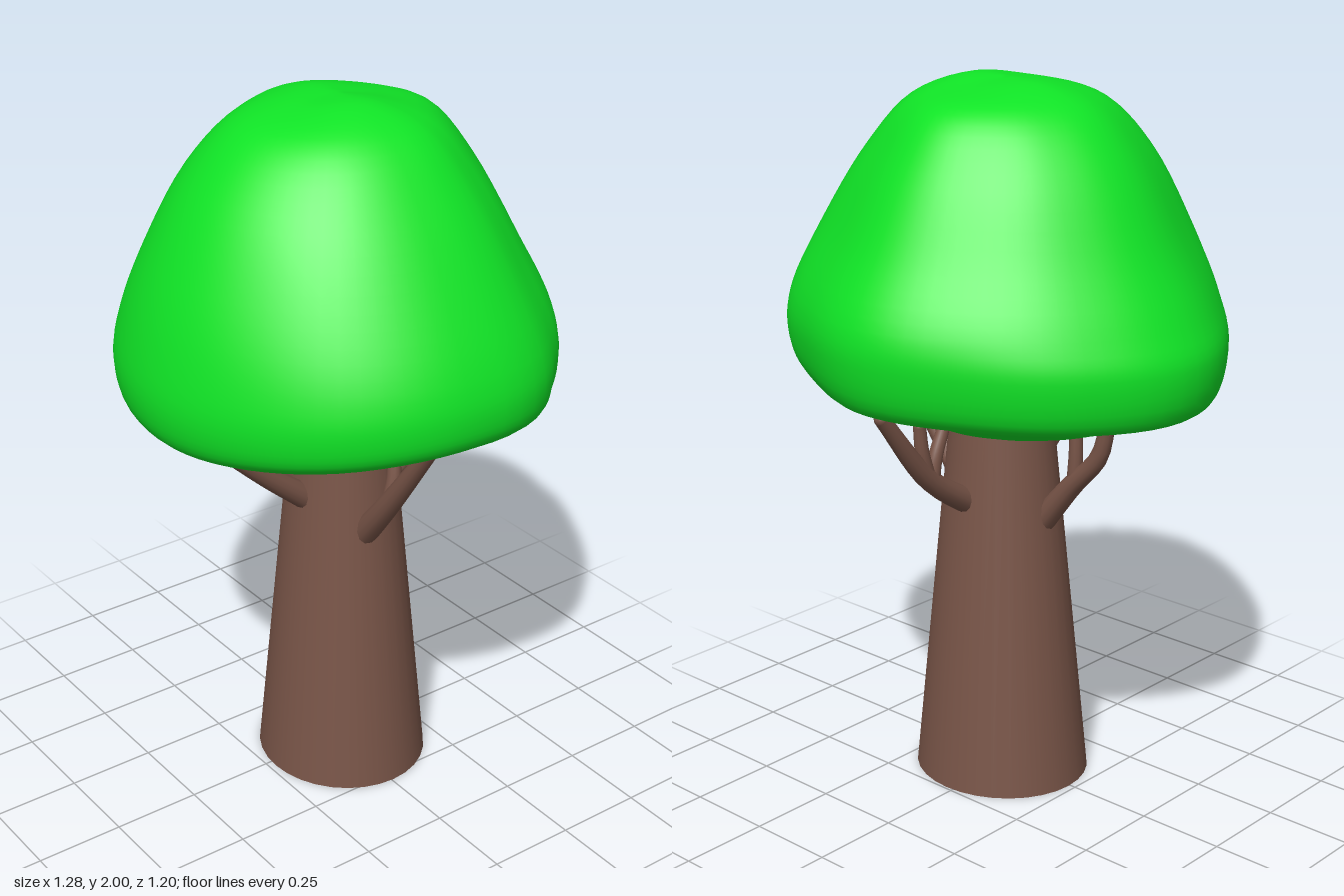
import * as THREE from 'three';

const leaf = new THREE.MeshStandardMaterial({ color: 0x10e426 });
leaf.name = 'leafGreen';
const bark = new THREE.MeshStandardMaterial({ color: 0x795548 });
bark.name = 'barkBrown';

const V = (x, y, z = 0) => new THREE.Vector3(x, y, z);

// Canopy profiles (radius, height), crown to underside, facing +x, +z, -x, -z
const PROFILES = [
  [[0, 1.995], [.13, 1.995], [.27, 1.94], [.4, 1.8], [.53, 1.6], [.62, 1.42], [.64, 1.32], [.62, 1.24], [.5, 1.18], [.3, 1.09], [.15, 1.05], [0, 1.04]],
  [[0, 1.995], [.13, 1.98], [.28, 1.93], [.41, 1.8], [.52, 1.6], [.58, 1.42], [.6, 1.27], [.57, 1.17], [.47, 1.12], [.3, 1.09], [.15, 1.045], [0, 1.04]],
  [[0, 1.995], [.13, 1.985], [.27, 1.93], [.39, 1.8], [.51, 1.58], [.6, 1.42], [.64, 1.32], [.61, 1.18], [.5, 1.15], [.3, 1.07], [.15, 1.035], [0, 1.04]],
  [[0, 1.995], [.13, 1.975], [.28, 1.93], [.39, 1.8], [.5, 1.6], [.59, 1.43], [.6, 1.33], [.56, 1.2], [.46, 1.16], [.3, 1.1], [.15, 1.04], [0, 1.04]],
].map((p) => new THREE.CatmullRomCurve3(p.map(([r, y]) => V(r, y))));

// Widest radius of the canopy every 30 degrees, from +x towards +z
const OUTLINE = new THREE.CatmullRomCurve3(
  [.64, .625, .6, .597, .597, .597, .64, .6, .577, .6, .58, .622].map((r, i) => V(i, r)), true);
const RIM = [.64, .6, .64, .6];

function canopyGeometry(rows = 55, cols = 72) {
  const pos = [], index = [];
  for (let i = 0; i <= rows; i++) {
    const section = PROFILES.map((c) => c.getPoint(i / rows));
    for (let j = 0; j < cols; j++) {
      const t = j / cols, q = Math.floor(t * 4), next = (q + 1) % 4;
      const k = THREE.MathUtils.smoothstep(t * 4 - q, 0, 1);
      const p = section[q].clone().lerp(section[next], k);
      const r = p.x * OUTLINE.getPoint(t).y / THREE.MathUtils.lerp(RIM[q], RIM[next], k);
      const a = t * Math.PI * 2;
      pos.push(r * Math.cos(a), p.y, r * Math.sin(a));
    }
  }
  for (let i = 0; i < rows; i++) {
    for (let j = 0; j < cols; j++) {
      const a = i * cols + j, b = i * cols + (j + 1) % cols;
      if (i > 0) index.push(a, b, a + cols);
      if (i < rows - 1) index.push(b, b + cols, a + cols);
    }
  }
  const g = new THREE.BufferGeometry();
  g.setAttribute('position', new THREE.Float32BufferAttribute(pos, 3));
  g.setIndex(index);
  g.computeVertexNormals();
  // Poles have coincident vertices, so their normals are set straight
  const n = g.attributes.normal;
  for (let j = 0; j < cols; j++) {
    n.setXYZ(j, 0, 1, 0);
    n.setXYZ(rows * cols + j, 0, -1, 0);
  }
  return g;
}

// Tapered limb with a rounded tip
function limb(name, points, r0, r1) {
  const group = new THREE.Group();
  group.name = name;
  const path = new THREE.CatmullRomCurve3(points), steps = 12, sides = 12;
  const g = new THREE.TubeGeometry(path, steps, 1, sides);
  const p = g.attributes.position, v = V(0, 0);
  for (let i = 0; i < p.count; i++) {
    const t = Math.floor(i / (sides + 1)) / steps, c = path.getPointAt(t);
    v.fromBufferAttribute(p, i).sub(c).multiplyScalar(THREE.MathUtils.lerp(r0, r1, t)).add(c);
    p.setXYZ(i, v.x, v.y, v.z);
  }
  const tip = new THREE.Mesh(new THREE.SphereGeometry(r1, 12, 8), bark);
  tip.name = name + 'Tip';
  tip.position.copy(points[points.length - 1]);
  const stem = new THREE.Mesh(g, bark);
  stem.name = name + 'Stem';
  group.add(stem, tip);
  return group;
}

export function createModel() {
  const tree = new THREE.Group();
  tree.name = 'tree';

  // Trunk, slightly oval
  const trunk = new THREE.Mesh(new THREE.CylinderGeometry(.145, .255, 1.1, 32), bark);
  trunk.name = 'trunk';
  trunk.position.set(.024, .55, -.006);
  trunk.scale.z = .93;
  tree.add(trunk);

  const canopy = new THREE.Mesh(canopyGeometry(), leaf);
  canopy.name = 'canopy';
  tree.add(canopy);

  // Branches and their twigs
  tree.add(
    limb('leftBranch', [V(.13, .74, .02), V(.27, .91, .025), V(.44, 1.145, .02)], .04, .022),
    limb('leftTwig', [V(.28, .93, .025), V(.28, 1, .01), V(.262, 1.09, 0)], .022, .018),
    limb('rightBranch', [V(-.09, .74), V(-.22, .9), V(-.32, 1.01), V(-.35, 1.11)], .038, .021),
    limb('rightTwig', [V(-.235, .91), V(-.24, 1), V(-.24, 1.08)], .022, .018),
    limb('frontBranch', [V(.035, .85, .1), V(.035, .97, .25), V(.035, 1.11, .41)], .037, .021),
    limb('frontTwig', [V(.035, .97, .25), V(.035, 1.03, .265), V(.035, 1.1, .27)], .022, .018),
    limb('backBranch', [V(.03, .82, -.11), V(.03, .94, -.29), V(.03, 1.155, -.465)], .037, .021),
    limb('backOuterTwig', [V(.03, .94, -.29), V(.03, 1.02, -.315), V(.03, 1.1, -.325)], .022, .018),
    limb('backInnerTwig', [V(.03, .93, -.28), V(.03, 1, -.265), V(.03, 1.07, -.235)], .022, .018),
  );
  return tree;
}
